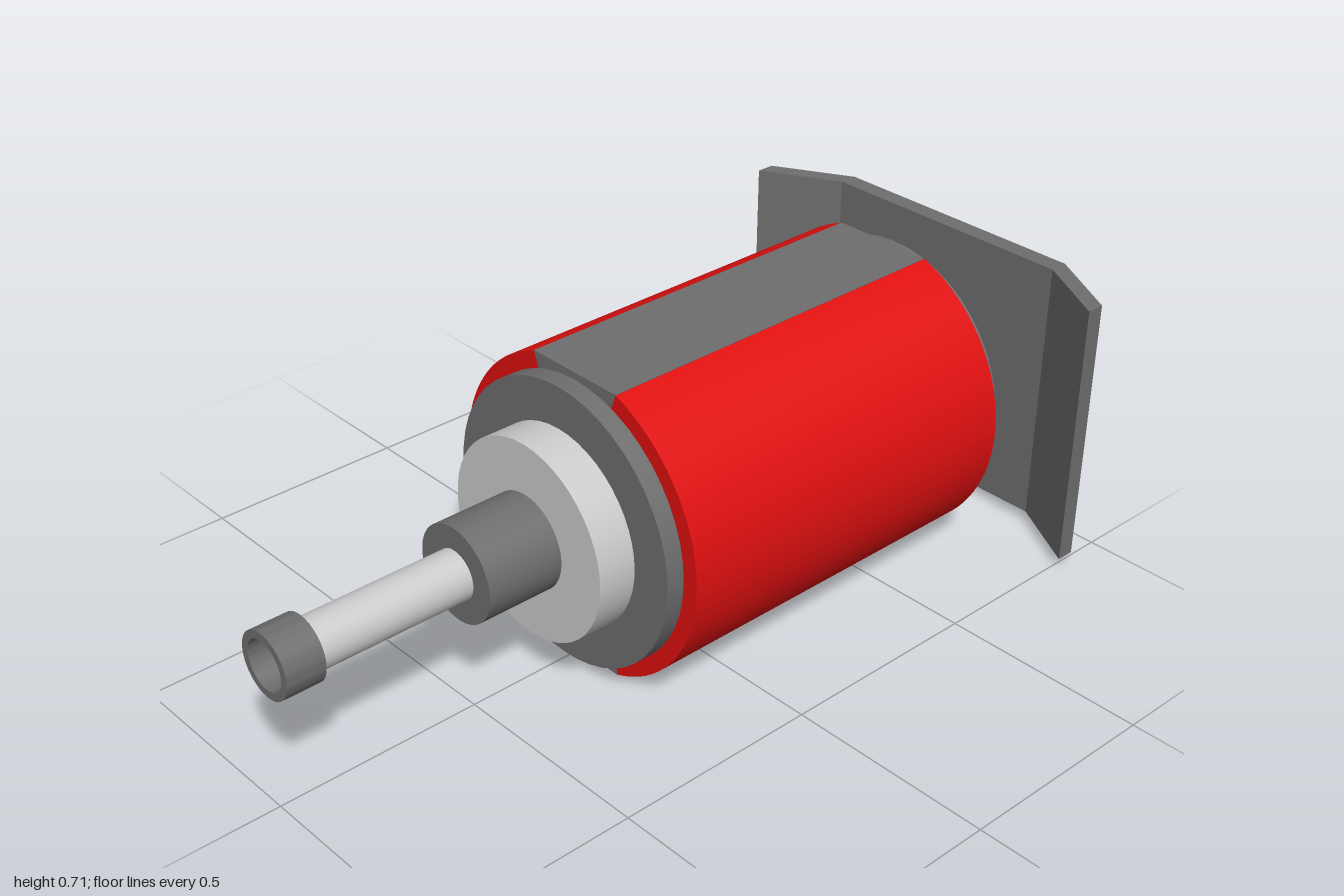
import * as THREE from 'three';
import { toCreasedNormals } from 'three/addons/utils/BufferGeometryUtils.js';

const AXIS = 0.355; // height of the shaft axis

export function createModel() {
  const model = new THREE.Group();
  const light = new THREE.MeshStandardMaterial({ color: 0xcccccc });
  const dark = new THREE.MeshStandardMaterial({ color: 0x6e6e6e });
  const red = new THREE.MeshStandardMaterial({ color: 0xe01010 });

  const add = (name, geometry, material, y = AXIS) => {
    const mesh = new THREE.Mesh(geometry, material);
    mesh.name = name;
    mesh.position.y = y;
    model.add(mesh);
  };

  // Solid disc or rod along x
  const rod = (name, x0, x1, r, material) => {
    const g = new THREE.CylinderGeometry(r, r, x1 - x0, 48);
    g.rotateZ(-Math.PI / 2).translate((x0 + x1) / 2, 0, 0);
    add(name, g, material);
  };

  // Cross-section across the axis, swept along x
  const sweepX = (name, shape, x0, x1, material) => {
    const g = new THREE.ExtrudeGeometry(shape, { depth: x1 - x0, bevelEnabled: false, curveSegments: 32 });
    g.rotateY(Math.PI / 2).translate(x0, 0, 0);
    add(name, toCreasedNormals(g, 0.4), material);
  };

  // Main shell: two round red sides and two flat grey strips
  const R = 0.377, inner = 0.3, flat = 0.355, halfFlat = 0.13;
  const a = Math.PI / 2 - Math.atan2(halfFlat, flat);
  for (const s of [1, -1]) {
    const mid = s > 0 ? 0 : Math.PI;
    const side = new THREE.Shape();
    side.absarc(0, 0, R, mid - a, mid + a, false);
    side.absarc(0, 0, inner, mid + a, mid - a, true);
    side.closePath();
    sweepX(s > 0 ? 'backShell' : 'frontShell', side, -0.2, 0.74, red);

    const k = inner / R;
    const strip = new THREE.Shape([
      [-halfFlat, flat], [halfFlat, flat], [halfFlat * k, flat * k], [-halfFlat * k, flat * k],
    ].map(([u, v]) => new THREE.Vector2(u, v * s)));
    sweepX(s > 0 ? 'topFlat' : 'bottomFlat', strip, -0.2, 0.74, dark);
  }

  // End caps, stepped nose and shafts
  rod('coreWithEndCaps', -0.245, 0.785, 0.338, dark);
  rod('noseFlange', -0.34, -0.245, 0.237, light);
  rod('noseCollar', -0.53, -0.34, 0.114, dark);
  rod('shaft', -0.94, -0.53, 0.059, light);
  rod('plateStem', 0.785, 0.96, 0.067, light);

  // Hollow shaft tip
  const tip = new THREE.Shape().absarc(0, 0, 0.077, 0, Math.PI * 2, false);
  tip.holes.push(new THREE.Path().absarc(0, 0, 0.058, 0, Math.PI * 2, true));
  sweepX('shaftTip', tip, -1, -0.907, dark);

  // End plate with angled wings
  const plate = new THREE.Shape([
    [1, -0.33], [1, 0.33], [0.895, 0.517], [0.85, 0.517],
    [0.955, 0.33], [0.955, -0.33], [0.85, -0.517], [0.895, -0.517],
  ].map(([x, z]) => new THREE.Vector2(x, z)));
  const plateGeometry = new THREE.ExtrudeGeometry(plate, { depth: 0.657, bevelEnabled: false });
  plateGeometry.rotateX(-Math.PI / 2);
  add('endPlate', plateGeometry, dark, 0.027);

  return model;
}
